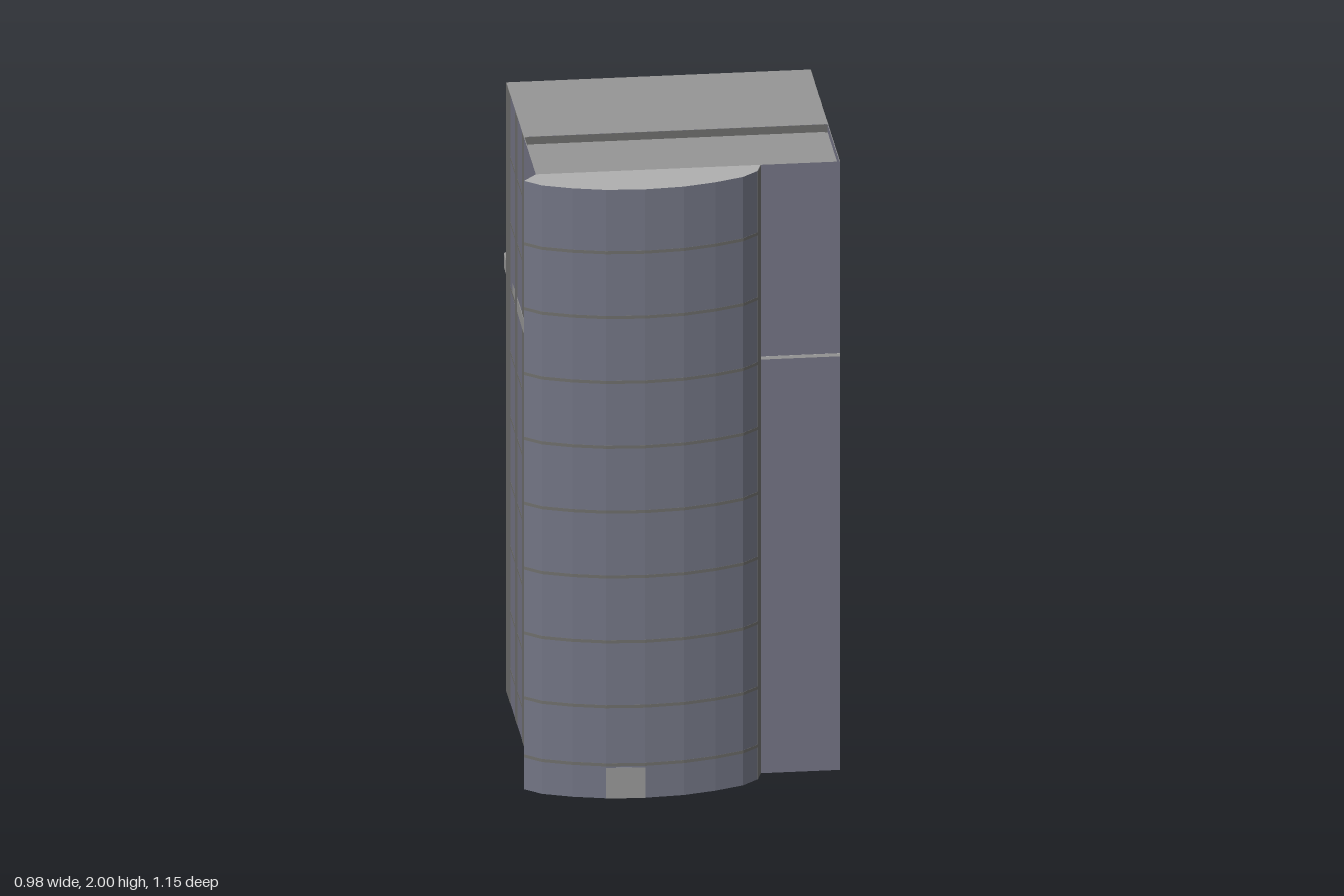
import * as THREE from 'three';

const paint = (color) => new THREE.MeshStandardMaterial({ color });
const concrete = paint(0x959595);
const paleConcrete = paint(0xafafaf);
const glass = paint(0x737383);
const bowGlass = paint(0x727584);
const trim = paint(0x6d6d6b);

// Footprint limits of the tower block
const X0 = -0.448, X1 = 0.49, Z0 = -0.37, Z1 = 0.41, ROOF_Z = 0.093;
const TOP = 2, DECK = 1.975;

// Outline of the bowed front, from the left wall round to the right return
const BOW = [[-0.448, 0.41], [-0.49, 0.46], [-0.44, 0.505], [-0.35, 0.54], [-0.25, 0.565],
  [-0.13, 0.574], [-0.01, 0.565], [0.09, 0.54], [0.18, 0.505], [0.23, 0.46], [0.245, 0.41]];

const rect = (x0, x1, z0, z1) => [[x0, z0], [x1, z0], [x1, z1], [x0, z1]];
const toPoints = (pts) => pts.map(([x, z]) => new THREE.Vector2(x, -z));

export function createModel() {
  const model = new THREE.Group();

  // Upright prism on an x/z outline, between two heights
  function prism(name, pts, y0, y1, material, hole, parent = model) {
    const shape = new THREE.Shape(toPoints(pts));
    if (hole) shape.holes.push(new THREE.Path(toPoints(hole)));
    const geo = new THREE.ExtrudeGeometry(shape, { depth: y1 - y0, bevelEnabled: false });
    geo.rotateX(-Math.PI / 2).translate(0, y0, 0);
    const mesh = new THREE.Mesh(geo, material);
    mesh.name = name;
    parent.add(mesh);
  }

  const walls = [concrete, glass]; // caps, sides

  // Tower block: ground storey with a recessed rear entrance, then the shaft
  prism('groundStorey', [[X0, Z1], [X0, Z0], [-0.14, Z0], [-0.14, Z0 + 0.045],
    [0.25, Z0 + 0.045], [0.25, Z0], [X1, Z0], [X1, Z1]], 0, 0.1, walls);
  prism('towerShaft', rect(X0, X1, Z0, Z1), 0.1, DECK, walls);

  // Raised rear roof and the thin parapet around the sunken front deck
  prism('rearRoof', rect(X0, X1, Z0, ROOF_Z), DECK, TOP, walls);
  prism('roofStep', rect(X0 + 0.002, X1 - 0.002, ROOF_Z - 0.01, ROOF_Z + 0.001), DECK, TOP - 0.0005, trim);
  const t = 0.002;
  prism('roofParapet', [[X0, ROOF_Z], [X0 + t, ROOF_Z], [X0 + t, Z1 - t], [X1 - t, Z1 - t],
    [X1 - t, ROOF_Z], [X1, ROOF_Z], [X1, Z1], [X0, Z1]], DECK, TOP, walls);

  // Bowed glass front with solid returns at both ends
  prism('bowedFront', BOW, 0, TOP, [paleConcrete, bowGlass]);
  for (const [i, out] of [[0, -0.001], [9, 0.001]]) {
    const [a, b] = [BOW[i], BOW[i + 1]];
    prism('bowReturn', [a, b, [b[0] + out, b[1]], [a[0] + out, a[1]]], 0, TOP - 0.0005, trim);
  }

  // Floor bands, almost flush, round the block and the bow
  const bands = new THREE.Group();
  bands.name = 'floorBands';
  model.add(bands);
  const e = 0.0006;
  const cx = -0.125;
  const bowBand = BOW.slice(1, 10).map(([x, z]) => [cx + (x - cx) * 1.0015, z + 0.0007]);
  for (let i = 0; i < 9; i++) {
    const y = i === 0 ? 0.105 : 0.083 + i * 0.2132;
    prism('blockBand', rect(X0 - e, X1 + e, Z0 - e, Z1 - 0.002), y, y + 0.01, trim, null, bands);
    prism('bowBand', bowBand, y, y + 0.01, trim, null, bands);
  }

  // Vertical piers on both side walls
  for (const [z0, z1] of [[0.05, 0.1], [-0.135, -0.08], [Z0, -0.265]]) {
    prism('rightPier', rect(X1 - 0.01, X1 + 0.001, z0, z1), 0, TOP - 0.0005, trim);
    prism('leftPier', rect(X0 - 0.001, X0 + 0.01, z0, z1), 0, TOP - 0.0005, trim);
  }

  // Rear balcony: floor with chamfered corners and a low rim running along the
  // sides, the rim emerging from the wall only near its front end at -x
  const outer = [[X0 - 0.0025, 0.1], [X0 + 0.002, -0.455], [-0.355, -0.575],
    [0.42, -0.575], [X1 + 0.002, -0.455], [X1 + 0.002, 0.1]];
  const inner = [[-0.435, 0.09], [-0.433, -0.45], [-0.348, -0.562],
    [0.413, -0.562], [0.479, -0.45], [0.479, 0.09]];
  prism('balconyFloor', outer, 1.36, 1.38, concrete);
  prism('balconyRim', outer, 1.38, 1.405, concrete, inner);

  // Light ledge on the flat strip of the front
  prism('frontLedge', rect(0.245, X1, Z1 - 0.01, Z1 + 0.001), 1.36, 1.37, paleConcrete);

  // Front door set in the bow
  prism('frontDoor', [[-0.25, 0.55], [-0.13, 0.55], [-0.13, 0.576], [-0.25, 0.567]], 0, 0.1, concrete);

  return model;
}
